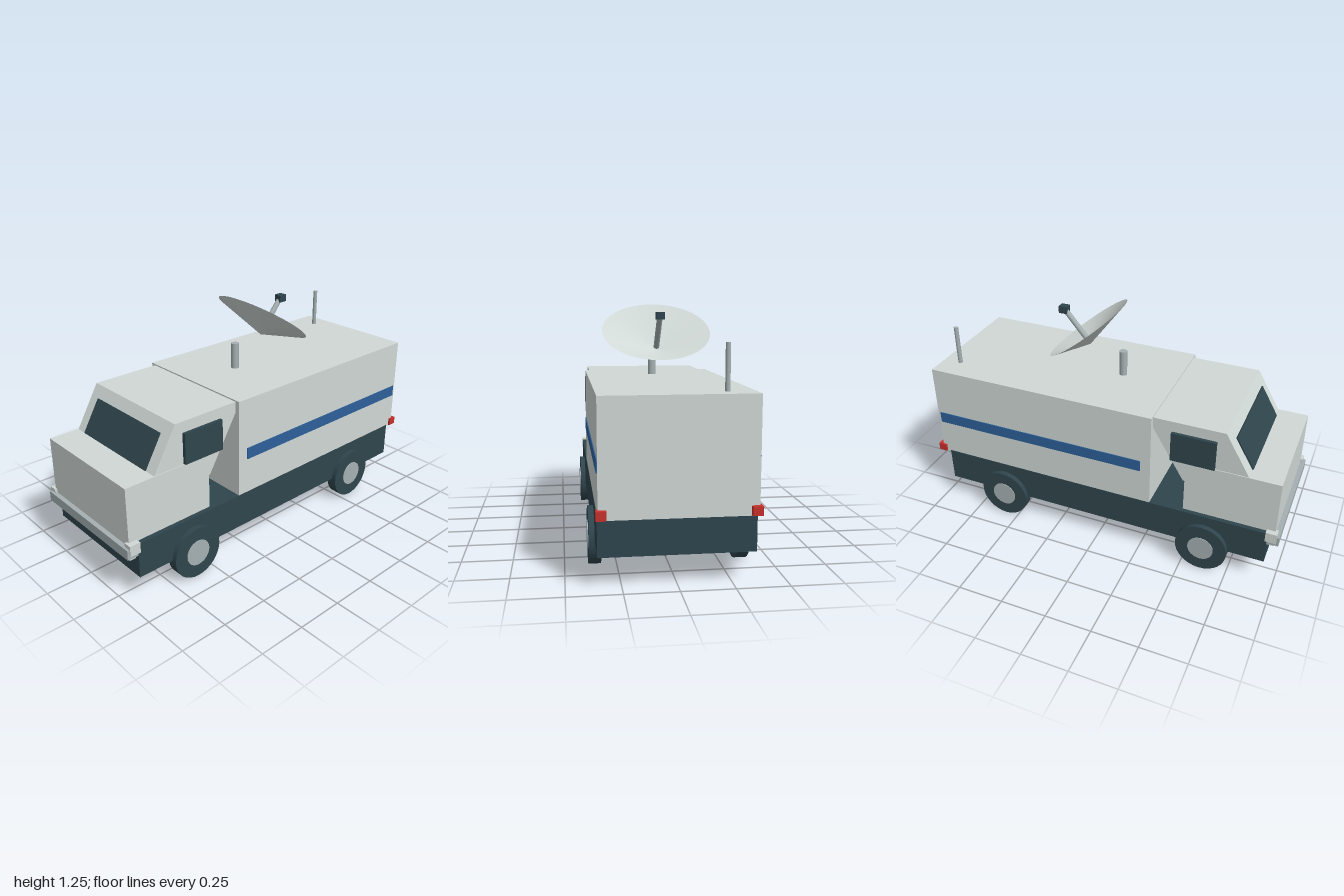
import * as THREE from 'three';

const paint = (name, color) => {
  const m = new THREE.MeshStandardMaterial({ color });
  m.name = name;
  return m;
};

export function createModel() {
  const body = paint('body white', 0xd0d8d5);
  const dark = paint('dark slate', 0x2f454d);
  const metal = paint('grey metal', 0xa5b0b2);
  const blue = paint('stripe blue', 0x2d6099);
  const red = paint('tail light red', 0xc8302b);
  const dishMat = paint('dish white', 0xd0d8d5);
  dishMat.side = THREE.DoubleSide;

  const van = new THREE.Group();
  van.name = 'broadcastVan';

  const add = (name, geometry, material, parent = van) => {
    const mesh = new THREE.Mesh(geometry, material);
    mesh.name = name;
    parent.add(mesh);
    return mesh;
  };
  // Box given by its [min, max] range on each axis
  const block = (name, material, [x0, x1], [y0, y1], [z0, z1]) => {
    const mesh = add(name, new THREE.BoxGeometry(x1 - x0, y1 - y0, z1 - z0), material);
    mesh.position.set((x0 + x1) / 2, (y0 + y1) / 2, (z0 + z1) / 2);
    return mesh;
  };
  // The same box on the left and the right side
  const pair = (name, material, [x0, x1], ys, zs) => {
    block(name + 'Left', material, [x0, x1], ys, zs);
    block(name + 'Right', material, [-x1, -x0], ys, zs);
  };
  // Cylinder running from point a to point b
  const rod = (name, material, radius, a, b, sides = 16) => {
    const from = new THREE.Vector3(...a), to = new THREE.Vector3(...b);
    const dir = to.clone().sub(from);
    const mesh = add(name, new THREE.CylinderGeometry(radius, radius, dir.length(), sides), material);
    mesh.position.copy(from).add(to).multiplyScalar(0.5);
    mesh.quaternion.setFromUnitVectors(new THREE.Vector3(0, 1, 0), dir.normalize());
    return mesh;
  };

  // Chassis and cargo body
  block('chassis', dark, [-0.359, 0.359], [0.145, 0.335], [-0.93, 0.94]);
  block('cargoBox', body, [-0.357, 0.357], [0.325, 0.865], [-0.975, 0.305]);
  pair('sideStripe', blue, [0.355, 0.362], [0.53, 0.592], [-0.96, 0.25]);

  // Cab: square lower block and a sloped upper prism
  block('cabLower', body, [-0.335, 0.335], [0.245, 0.634], [0.485, 0.975]);
  const profile = new THREE.Shape([
    [0.475, 0.515], [0.80, 0.515], [0.81, 0.634], [0.68, 0.858], [0.305, 0.858], [0.305, 0.80],
  ].map(([z, y]) => new THREE.Vector2(-z, y)));
  const upper = new THREE.ExtrudeGeometry(profile, { depth: 0.662, bevelEnabled: false });
  upper.translate(0, 0, -0.331).rotateY(Math.PI / 2);
  add('cabUpper', upper, body);

  // Windows
  const slope = Math.atan2(0.13, 0.224);
  const windshield = add('windshield', new THREE.BoxGeometry(0.53, 0.192, 0.009), dark);
  windshield.position.set(0, 0.719, 0.764);
  windshield.rotation.x = -slope;
  pair('sideWindow', dark, [0.329, 0.349], [0.637, 0.80], [0.405, 0.638]);

  // Bumper and lights
  block('frontBumper', metal, [-0.357, 0.357], [0.27, 0.323], [0.94, 1]);
  pair('headlight', body, [0.32, 0.364], [0.287, 0.344], [0.93, 0.988]);
  pair('tailLight', red, [0.32, 0.367], [0.33, 0.372], [-1, -0.952]);

  // Wheels with hubs
  for (const [end, z] of [['front', 0.607], ['rear', -0.575]]) {
    for (const [side, s] of [['Left', 1], ['Right', -1]]) {
      rod(end + 'Tyre' + side, dark, 0.14, [s * 0.327, 0.142, z], [s * 0.386, 0.142, z], 32);
      rod(end + 'Hub' + side, metal, 0.07, [s * 0.36, 0.142, z], [s * 0.39, 0.142, z], 24);
    }
  }

  // Roof mast and whip antenna
  rod('roofMast', metal, 0.021, [0, 0.86, 0.01], [0, 1.005, 0.01]);
  rod('antenna', metal, 0.012, [-0.226, 0.86, -0.875], [-0.226, 1.08, -0.875], 12);

  // Dish: open cone sheared so the rim tilts up and back, apex below
  const rim = new THREE.Vector3(0, 1.1075, -0.1875);
  const toApex = new THREE.Vector3(0, -0.0975, 0.0075);
  const placement = new THREE.Matrix4().makeBasis(
    new THREE.Vector3(0.285, 0, 0), toApex, new THREE.Vector3(0, -0.1395, -0.1875));
  placement.setPosition(rim.clone().addScaledVector(toApex, 0.5));
  add('dish', new THREE.ConeGeometry(1, 1, 32, 1, true).applyMatrix4(placement), dishMat);

  // Feed arm and receiver
  rod('feedArm', metal, 0.015, [0, 1.025, -0.19], [0, 1.185, -0.325], 12);
  block('feedReceiver', dark, [-0.021, 0.021], [1.17, 1.208], [-0.353, -0.307]);

  return van;
}
